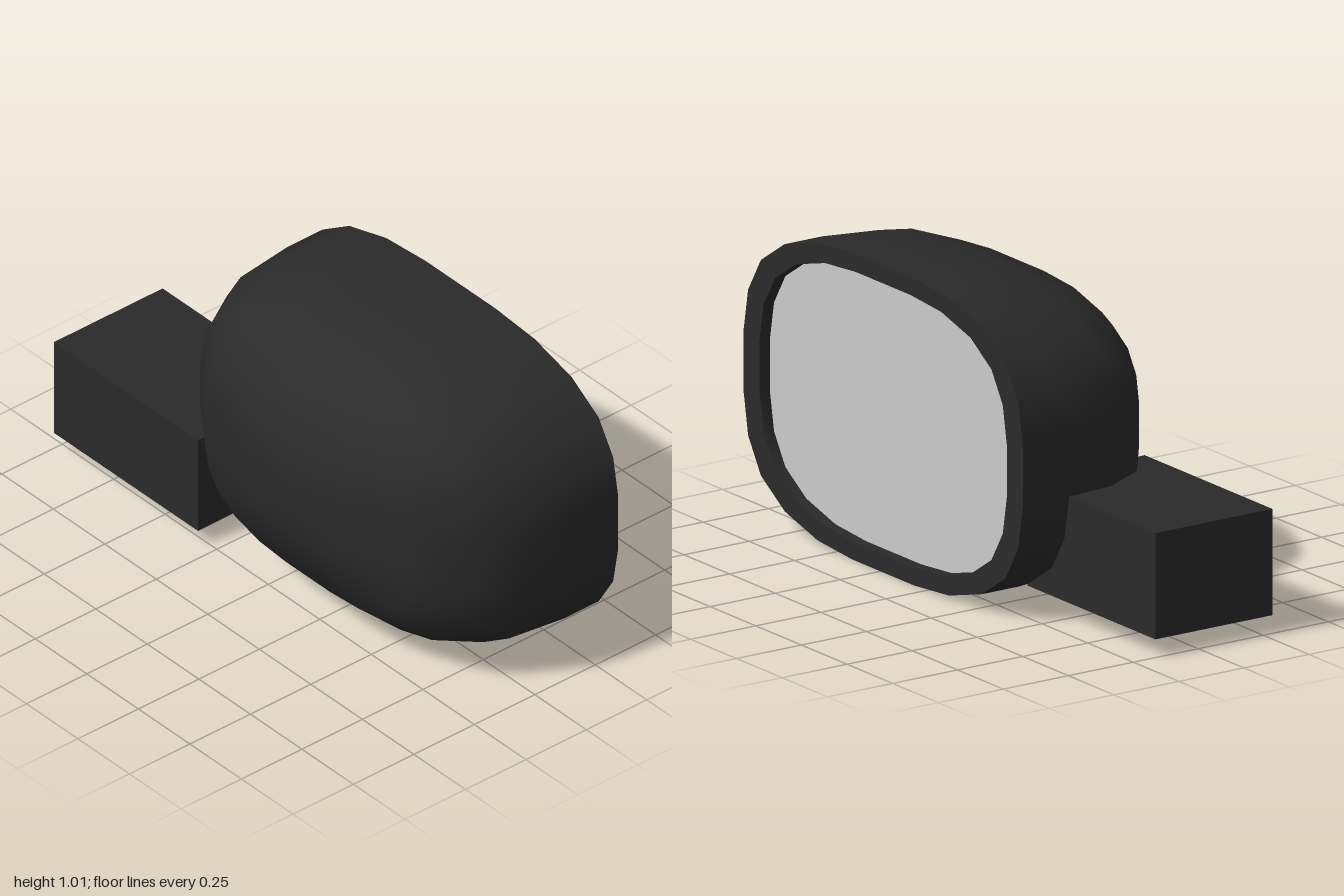
import * as THREE from 'three';

// First quarter of the rounded housing outline, mirrored into a full loop
const quarter = [[0.765, 0.1], [0.74, 0.24], [0.67, 0.355], [0.54, 0.44], [0.36, 0.49], [0.17, 0.505]];
const back = [...quarter].reverse();
const outline = [
  ...quarter,
  ...back.map(([x, y]) => [-x, y]),
  ...quarter.map(([x, y]) => [-x, -y]),
  ...back.map(([x, y]) => [x, -y]),
];

// Skin between scaled copies of the outline, each ring given as [scale, z]
function loft(rings) {
  const n = outline.length, pos = [], idx = [];
  for (const [s, z] of rings) for (const [x, y] of outline) pos.push(x * s, y * s, z);
  for (let i = 0; i < rings.length - 1; i++) {
    for (let j = 0; j < n; j++) {
      const k = (j + 1) % n;
      const a = i * n + j, b = i * n + k, c = a + n, d = b + n;
      if (rings[i][0] > 0) idx.push(a, b, d);
      if (rings[i + 1][0] > 0) idx.push(a, d, c);
      else idx[idx.length - 1] = c;
    }
  }
  const g = new THREE.BufferGeometry();
  g.setAttribute('position', new THREE.Float32BufferAttribute(pos, 3));
  g.setIndex(idx);
  g.computeVertexNormals();
  return g;
}

export function createModel() {
  const model = new THREE.Group();
  model.name = 'wingMirror';
  const dark = new THREE.MeshStandardMaterial({ color: 0x2a2a2a });
  const grey = new THREE.MeshStandardMaterial({ color: 0xcccccc });

  const add = (name, geometry, material, x, y, z) => {
    const mesh = new THREE.Mesh(geometry, material);
    mesh.name = name;
    mesh.position.set(x, y, z);
    model.add(mesh);
  };

  const rear = -0.345, glassZ = -0.305, opening = 0.885;
  const cx = 0.235, cy = 0.505;

  // Domed shell, from the open rear edge to the flat front
  add('housing', loft([
    [1, rear], [1, -0.2], [0.972, 0.01], [0.86, 0.17], [0.66, 0.285], [0.3, 0.345], [0, 0.345],
  ]), dark, cx, cy, 0);

  // Rear lip, the short wall inside it, and the recessed glass
  add('rim', loft([[opening, rear], [1, rear]]), dark, cx, cy, 0);
  add('recessWall', loft([[opening, glassZ], [opening, rear]]), dark, cx, cy, 0);
  add('mirrorGlass', loft([[0, glassZ], [opening, glassZ]]), grey, cx, cy, 0);

  // Block that joins the housing to the door
  add('mountArm', new THREE.BoxGeometry(0.7, 0.35, 0.45), dark, -0.65, 0.235, 0.06);

  return model;
}
